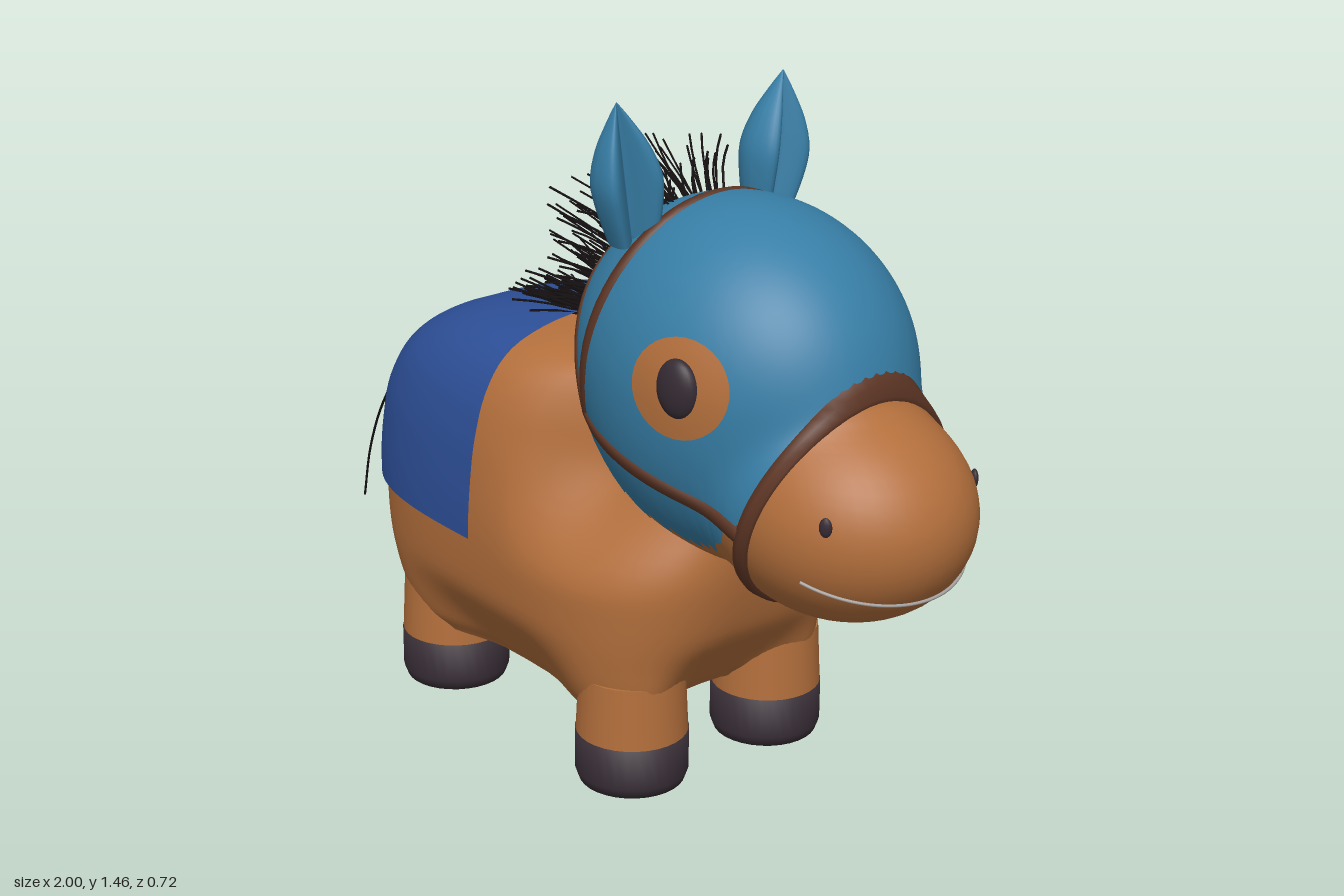
import * as THREE from 'three';
import { mergeGeometries } from 'three/addons/utils/BufferGeometryUtils.js';

const V = (x, y, z) => new THREE.Vector3(x, y, z);
const mat = (name, color, side = THREE.FrontSide) => {
  const m = new THREE.MeshStandardMaterial({ color, side });
  m.name = name;
  return m;
};
const smooth = THREE.MathUtils.smoothstep;

// Grid surface; u may wrap around
function grid(f, nu, nv, wrap) {
  const pos = [], idx = [], cols = wrap ? nu : nu + 1;
  for (let j = 0; j <= nv; j++)
    for (let i = 0; i < cols; i++) pos.push(...f(i / nu, j / nv, i).toArray());
  for (let j = 0; j < nv; j++)
    for (let i = 0; i < nu; i++) {
      const a = j * cols + i, b = j * cols + (i + 1) % cols;
      idx.push(a, b, a + cols, b, b + cols, a + cols);
    }
  const g = new THREE.BufferGeometry();
  g.setAttribute('position', new THREE.Float32BufferAttribute(pos, 3));
  g.setIndex(idx);
  g.computeVertexNormals();
  return g;
}

// Smooth table lookup: rows [key, value, ...]
function lookup(t, key, k) {
  let i = 0;
  while (i < t.length - 2 && key > t[i + 1][0]) i++;
  const slope = j => {
    const a = t[Math.max(j - 1, 0)], b = t[Math.min(j + 1, t.length - 1)];
    return (b[k] - a[k]) / (b[0] - a[0]);
  };
  const h = t[i + 1][0] - t[i][0], s = THREE.MathUtils.clamp((key - t[i][0]) / h, 0, 1);
  const s2 = s * s, s3 = s2 * s;
  return t[i][k] * (2 * s3 - 3 * s2 + 1) + t[i + 1][k] * (3 * s2 - 2 * s3)
    + h * (slope(i) * (s3 - 2 * s2 + s) + slope(i + 1) * (s3 - s2));
}

// Body levels: height, rear x, front x, half width
const BODY = [
  [.16, -.43, .375, .275], [.2, -.468, .415, .306], [.3, -.525, .443, .332], [.4, -.568, .475, .345],
  [.5, -.583, .495, .348], [.6, -.58, .5, .342], [.7, -.56, .5, .328], [.8, -.485, .45, .295],
  [.87, -.35, .42, .235], [.905, -.18, .36, .14], [.922, .03, .25, .02],
];
const TOP = .922;
const neckTaper = (x, y) => 1 - .48 * smooth(y, .44, .72) * smooth(x, -.02, .28);
function level(y) {
  const x0 = lookup(BODY, y, 1), x1 = lookup(BODY, y, 2);
  return { c: (x0 + x1) / 2, a: (x1 - x0) / 2, b: lookup(BODY, y, 3) };
}
function bodyHalfWidth(x, y) {
  const { c, a, b } = level(y), u = Math.min(1, Math.abs((x - c) / a));
  return b * Math.cbrt(1 - u ** 3) * neckTaper(x, y);
}
function bodyTop(x) {
  let y = TOP;
  while (y > .5 && lookup(BODY, y, 1) > x) y -= .001;
  return y;
}

// Head: skull and muzzle blended into one solid
function inHead(p) {
  const h = ((p.x - .42) / .378) ** 2 + ((p.y - .93) / (p.y > .93 ? .335 : .415)) ** 2 + (p.z / .305) ** 2;
  const m = ((p.x - .72) / .28) ** 2 + ((p.y - .715) / .223) ** 2 + (p.z / .245) ** 2;
  return Math.max(h, 1e-3) ** -6 + Math.max(m, 1e-3) ** -6 >= 1;
}
function headHit(o, d, lift = 0) {
  const at = t => o.clone().addScaledVector(d, t);
  let t = .95;
  while (t > 0 && !inHead(at(t))) t -= .01;
  let lo = t, hi = t + .01;
  for (let i = 0; i < 12; i++) {
    const m = (lo + hi) / 2;
    if (inHead(at(m))) lo = m; else hi = m;
  }
  return at(lo + lift);
}
const HEAD = V(.55, .85, 0);
const polar = (az, phi) => V(Math.sin(phi) * Math.cos(az), Math.cos(phi), Math.sin(phi) * Math.sin(az));

// Lower edge of the hood, x to y
const HEM = [[0, .96], [.05, .91], [.13, .84], [.25, .735], [.35, .65], [.5, .605], [.58, .625], [.68, .72], [.8, .965], [.9, 1.2]];
function hem(x) {
  let i = 0;
  while (i < HEM.length - 2 && x > HEM[i + 1][0]) i++;
  return THREE.MathUtils.mapLinear(x, HEM[i][0], HEM[i + 1][0], HEM[i][1], HEM[i + 1][1]);
}

// Flat leather band on the head: ray(u) gives origin, direction and sideways vector
const BAND = [[-.016, -.005], [-.016, .008], [0, .011], [.016, .008], [.016, -.005]];
function band(ray, n, closed) {
  return grid((u, v) => {
    const [o, d, across] = ray(u), [w, lift] = BAND[Math.round(v * 4)];
    return headHit(o.clone().addScaledVector(across, w), d, lift);
  }, n, 4, closed);
}

export function createModel() {
  const root = new THREE.Group();
  root.name = 'toyHorse';
  const coat = mat('coat brown', 0xb36f3c);
  const hoodBlue = mat('hood blue', 0x377ea6, THREE.DoubleSide);
  const clothBlue = mat('blanket blue', 0x2d4f97, THREE.DoubleSide);
  const dark = mat('hoof dark', 0x362c34);
  const leather = mat('leather', 0x5e3625, THREE.DoubleSide);
  const black = mat('hair black', 0x151011);
  const grey = mat('mouth grey', 0xaaa5a2);
  const add = (name, geo, m, x = 0, y = 0, z = 0) => {
    const o = new THREE.Mesh(geo, m);
    o.name = name;
    o.position.set(x, y, z);
    root.add(o);
    return o;
  };
  const tube = (pts, r) => new THREE.TubeGeometry(new THREE.CatmullRomCurve3(pts), pts.length * 4, r, 6);

  // Body: squarer and slightly hollowed between the legs, closed above and below
  add('body', grid((u, v) => {
    const s = THREE.MathUtils.clamp((v - .04) / .92, 0, 1);
    const y = .16 + (TOP - .16) * (1 - Math.cos(s * Math.PI)) / 2;
    const { c, a, b } = level(y), t = u * Math.PI * 2;
    const power = 2 / (4.2 - 1.2 * smooth(y, .16, .47));
    const pw = q => Math.sign(q) * Math.abs(q) ** power;
    let k = 1 - .2 * (1 - smooth(y, .16, .36)) * Math.cos(2 * t) ** 6;
    if (v < .001 || v > .999) k = 0;
    const x = c + a * k * pw(Math.cos(t));
    return V(x, y, -b * k * pw(Math.sin(t)) * neckTaper(x, y));
  }, 120, 50, true), coat);

  // Legs and hooves
  const hoofGeo = new THREE.LatheGeometry(
    [[0, 0], [.09, 0], [.112, .008], [.12, .03], [.12, .12], [0, .12]].map(p => new THREE.Vector2(...p)), 32);
  for (const x of [-.345, .293]) for (const s of [1, -1]) {
    add('leg', new THREE.CylinderGeometry(.112, .119, .14, 32), coat, x, .185, s * .186);
    add('hoof', hoofGeo, dark, x, 0, s * .186);
  }

  // Blanket draped over the back
  add('blanket', grid((u, v) => {
    const x = -.5 + .46 * u, top = bodyTop(x), s = 1 - 2 * v;
    const c = Math.cos(s * Math.PI / 2), y = .48 + (top - .48) * c;
    const w = Math.abs(s) < 1e-6 ? 0 : bodyHalfWidth(x, y) + .014 * Math.abs(s) ** .5;
    return V(x, y + .009 * c, Math.sign(s) * w);
  }, 24, 48, false), clothBlue);

  // Head and hood with a ragged hem
  add('head', grid((u, v) => headHit(HEAD, polar(u * Math.PI * 2, v * Math.PI), -.003), 80, 56, true), coat);
  const limits = [];
  add('hood', grid((u, v, i) => {
    const az = u * Math.PI * 2;
    if (limits[i] === undefined) {
      let phi = .3;
      for (; phi < 3; phi += .008) {
        const p = headHit(HEAD, polar(az, phi));
        if (p.y < hem(p.x) + (p.x < .66 ? .006 * (i % 4) : 0)) break;
      }
      limits[i] = phi;
    }
    return headHit(HEAD, polar(az, limits[i] * v), .005);
  }, 160, 40, true), hoodBlue);

  // Bridle: noseband and two bands over the head
  const around = (x0, y0, x1, y1, from, to) => {
    const o = V(x0, y0, 0), axis = V(x1 - x0, y1 - y0, 0).normalize(), across = V(axis.y, -axis.x, 0);
    return u => {
      const t = from + (to - from) * u;
      return [o, axis.clone().multiplyScalar(Math.cos(t)).add(V(0, 0, Math.sin(t))), across];
    };
  };
  add('noseband', band(around(.713, .735, .80, .98, 0, Math.PI * 2), 64, true), leather);
  add('browBand', band(around(.215, .81, .335, 1.27, -Math.PI / 2, Math.PI / 2), 40, false), leather);
  add('pollBand', band(around(.215, .81, .115, 1.15, -Math.PI / 2, Math.PI / 2), 40, false), leather);

  for (const s of [1, -1]) {
    const side = V(0, 0, s), label = s > 0 ? 'left' : 'right';
    const onSide = (x, y, lift) => headHit(V(x, y, 0), side, lift);
    add(label + 'CheekStrap', band(u =>
      [V(.205 + .485 * u, .812 - .107 * u, 0), side, V(.22, .975, 0)], 24, false), leather);

    // Eye patch following the hood, with a bulging eye
    add(label + 'EyePatch', grid((u, v) =>
      onSide(.55 + .105 * v * Math.cos(u * 2 * Math.PI), .97 - s * .1 * v * Math.sin(u * 2 * Math.PI), .009)
    , 32, 6, true), coat);
    const eye = add(label + 'Eye', new THREE.SphereGeometry(1, 24, 16), dark);
    eye.position.copy(onSide(.55, .97, 0));
    eye.scale.set(.048, .061, .026);
    eye.rotation.y = s * .2;

    // Nostril
    const nostril = add(label + 'Nostril', new THREE.SphereGeometry(1, 12, 8), dark);
    nostril.position.copy(onSide(.875, .77, 0));
    nostril.scale.set(.013, .02, .008);
    nostril.rotation.y = s * .6;

    // Ear with a groove down its front
    const g = new THREE.LatheGeometry(new THREE.SplineCurve(
      [[.048, 0], [.064, .07], [.069, .13], [.053, .19], [.025, .245], [.001, .285]]
        .map(p => new THREE.Vector2(...p))).getPoints(20), 40);
    const p = g.attributes.position;
    for (let i = 0; i < p.count; i++) {
      const x = p.getX(i), z = p.getZ(i);
      if (x > 0) p.setX(i, 1.5 * x * Math.abs(z) / Math.hypot(x, z));
    }
    g.computeVertexNormals();
    const ear = add(label + 'Ear', g, hoodBlue, .276, 1.18, s * .175);
    ear.rotation.set(s * .14, -s * .15, 0);
  }

  // Mouth line
  add('mouth', tube(Array.from({ length: 21 }, (_, i) => {
    const a = (i / 10 - 1) * 1.1;
    return headHit(V(.72, .598 + .05 * (a / 1.1) ** 2, 0), V(Math.cos(a), 0, Math.sin(a)));
  }), .0035), grey);

  // Mane: loose strands along the crest
  let seed = 7;
  const rnd = () => (seed = (seed * 16807) % 2147483647) / 2147483647;
  const crest = new THREE.CatmullRomCurve3(
    [V(.27, 1.23, 0), V(.16, 1.16, 0), V(.08, 1.06, 0), V(.04, .96, 0), V(-.04, .91, 0)]);
  const strands = [];
  for (let i = 0; i < 200; i++) {
    const t = rnd(), z = rnd() - .5, len = .11 + .07 * rnd();
    const a = crest.getPoint(t).add(V(0, 0, z * .14));
    const dir = V(-.75 - .25 * t, .65 - .55 * t + .25 * (rnd() - .5), z * 1.2).normalize();
    const b = a.clone().addScaledVector(dir, len * .6);
    const c = a.clone().addScaledVector(dir, len).add(V(0, .02 * (rnd() - .5), z * .03));
    strands.push(new THREE.TubeGeometry(new THREE.CatmullRomCurve3([a, b, c]), 4, .0026, 4));
  }
  add('mane', mergeGeometries(strands), black);

  // Tail
  add('tail', tube([V(-.56, .595, 0), V(-.67, .618, 0), V(-.8, .57, 0), V(-.9, .45, 0),
    V(-.965, .31, 0), V(-.997, .175, 0)], .003), black);
  return root;
}
